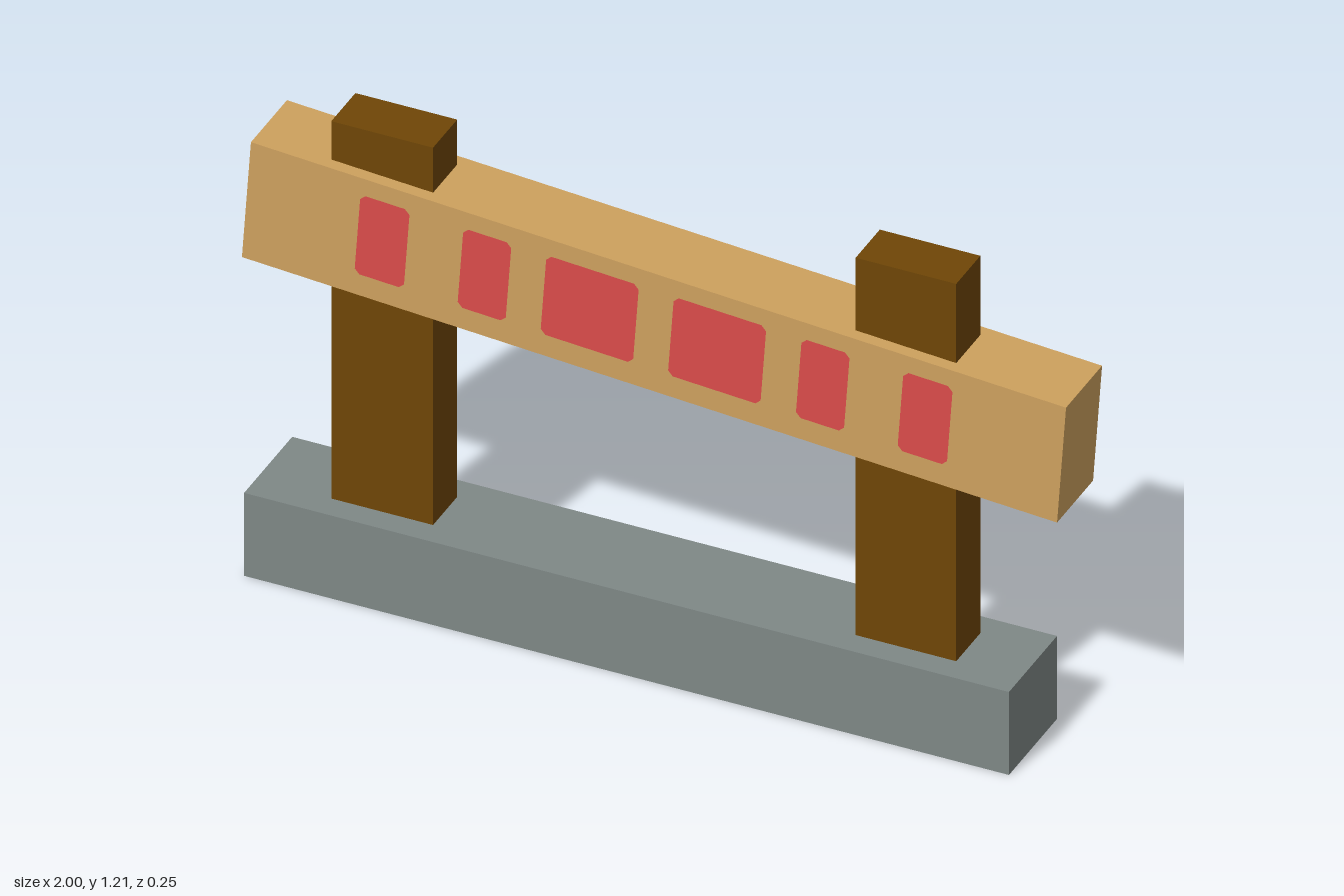
import * as THREE from 'three';

const flat = (name, color) => {
  const m = new THREE.MeshStandardMaterial({ color });
  m.name = name;
  return m;
};

export function createModel() {
  const stone = flat('grey stone', 0x7f8886);
  const paleStone = flat('pale stone', 0xb8c4ca);
  const darkWood = flat('dark wood', 0x6f4606);
  const lightWood = flat('light wood', 0xcea15e);
  const red = flat('red paint', 0xdb4c4b);

  const model = new THREE.Group();
  model.name = 'barrier';

  // Box with its own material on the underside
  const box = (name, parent, material, underside, w, h, d, x, y) => {
    const faces = [material, material, material, underside, material, material];
    const mesh = new THREE.Mesh(new THREE.BoxGeometry(w, h, d), faces);
    mesh.name = name;
    mesh.position.set(x, y, 0);
    parent.add(mesh);
  };

  // Footing and the two posts standing in it
  box('base', model, stone, paleStone, 1.856, 0.218, 0.247, -0.052, 0.109);
  box('rightPost', model, darkWood, darkWood, 0.247, 1.01, 0.124, -0.674, 0.705);
  box('leftPost', model, darkWood, darkWood, 0.244, 1.01, 0.124, 0.597, 0.705);

  // Crooked crossbar, sloping down towards the left post
  const bar = new THREE.Group();
  bar.name = 'crossbar';
  bar.position.y = 0.898;
  bar.rotation.z = -0.0707;
  model.add(bar);
  box('plank', bar, lightWood, darkWood, 1.983, 0.309, 0.185, 0, 0);

  // Painted patch with slightly clipped corners
  const patch = (w, h, c = 0.012) => {
    const a = w / 2, b = h / 2;
    const points = [
      [-a + c, -b], [a - c, -b], [a, -b + c], [a, b - c],
      [a - c, b], [-a + c, b], [-a, b - c], [-a, -b + c],
    ].map(([x, y]) => new THREE.Vector2(x, y));
    return new THREE.ShapeGeometry(new THREE.Shape(points));
  };

  // Matching patches on both faces: [centre along the bar, width]
  const patches = [
    [-0.661, 0.12], [-0.412, 0.117], [-0.156, 0.225],
    [0.154, 0.225], [0.411, 0.117], [0.66, 0.12],
  ];
  for (const [x, w] of patches) {
    const geometry = patch(w, 0.21);
    for (const side of [1, -1]) {
      const mesh = new THREE.Mesh(geometry, red);
      mesh.name = side > 0 ? 'frontStripe' : 'backStripe';
      mesh.position.set(x, 0.007, side * 0.0945);
      mesh.rotation.y = side > 0 ? 0 : Math.PI;
      bar.add(mesh);
    }
  }

  return model;
}
